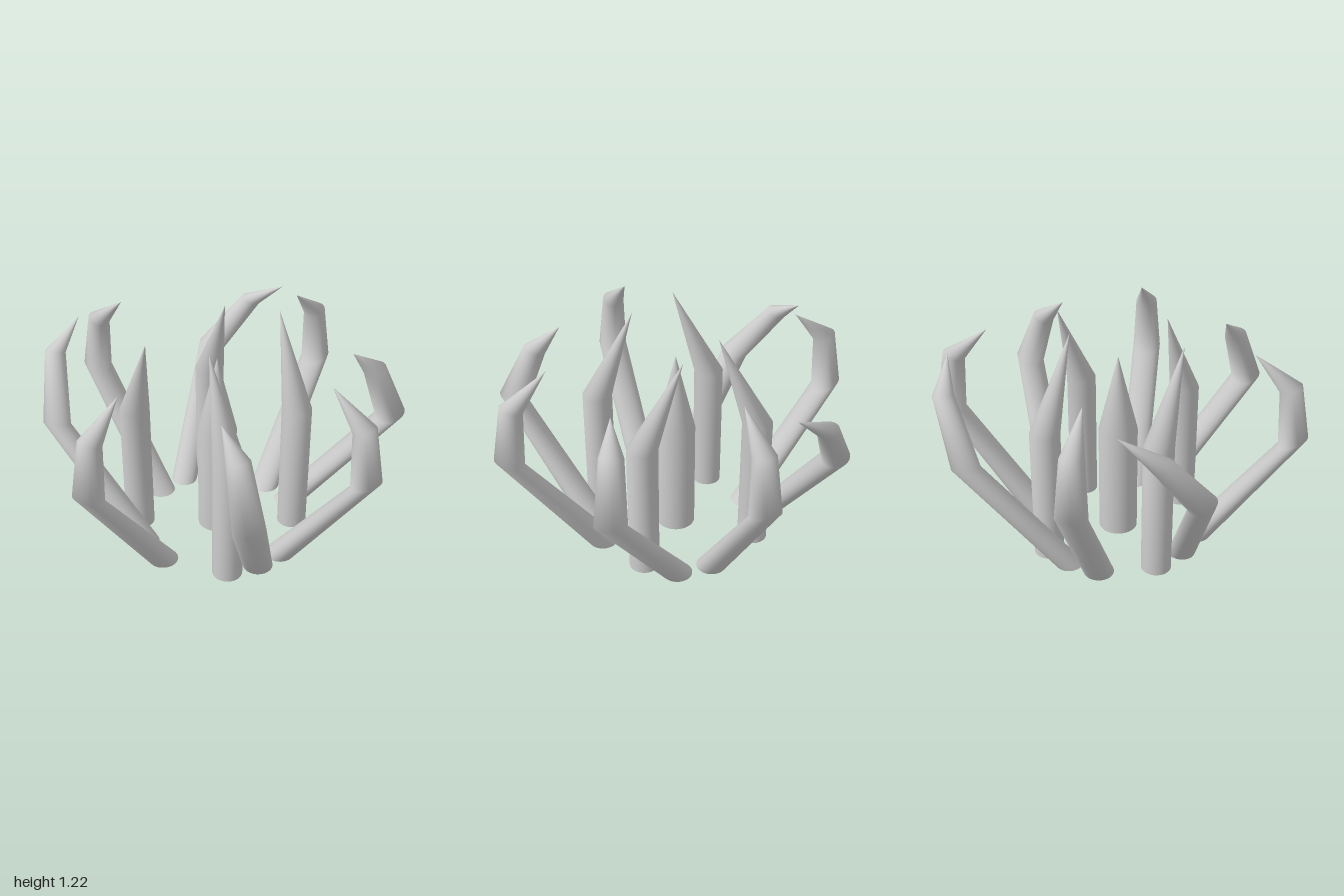
import * as THREE from 'three';

const SIDES = 32;
const V = (x, y, z) => new THREE.Vector3(x, y, z);

// Lofts rings { c: centre, r: radius, n: plane normal } and closes to a point at the tip;
// the base gets a flat cap with its own vertices so its rim stays sharp.
function loft(rings, tip) {
  const pos = [], index = [];
  const addRing = ({ c, r, n }) => {
    const q = new THREE.Quaternion().setFromUnitVectors(V(0, 1, 0), n);
    for (let i = 0; i < SIDES; i++) {
      const a = (i / SIDES) * Math.PI * 2;
      const p = V(Math.cos(a) * r, 0, Math.sin(a) * r).applyQuaternion(q).add(c);
      pos.push(p.x, p.y, p.z);
    }
  };
  rings.forEach(addRing);
  for (let k = 0; k < rings.length - 1; k++) {
    for (let i = 0; i < SIDES; i++) {
      const j = (i + 1) % SIDES, a = k * SIDES, b = a + SIDES;
      index.push(a + i, b + i, b + j, a + i, b + j, a + j);
    }
  }
  // pointed end: one apex vertex per side keeps the shading smooth around the cone
  const last = (rings.length - 1) * SIDES;
  for (let i = 0; i < SIDES; i++) {
    pos.push(tip.x, tip.y, tip.z);
    index.push(last + i, last + SIDES + i, last + ((i + 1) % SIDES));
  }
  // base cap
  const cap = pos.length / 3;
  addRing(rings[0]);
  for (let i = 1; i < SIDES - 1; i++) index.push(cap, cap + i, cap + i + 1);

  const g = new THREE.BufferGeometry();
  g.setAttribute('position', new THREE.Float32BufferAttribute(pos, 3));
  g.setIndex(index);
  g.computeVertexNormals();
  return g;
}

// Ring normal leaning by an angle towards a horizontal direction
function lean(from, to, angle) {
  const d = V(to.x - from.x, 0, to.z - from.z).normalize();
  return d.multiplyScalar(Math.sin(angle)).add(V(0, Math.cos(angle), 0));
}

export function createModel() {
  const model = new THREE.Group();
  const material = new THREE.MeshStandardMaterial({ color: 0xcccccc });
  const up = V(0, 1, 0);
  const add = (name, rings, tip) => {
    const mesh = new THREE.Mesh(loft(rings, tip), material);
    mesh.name = name;
    model.add(mesh);
  };

  // Outer claws: lean outward, bend up at the knee and hook over at the elbow
  const claw = (name, base, knee, elbow, tip, r = 0.08) => {
    const n = lean(knee, tip, 0.38);
    add(name, [
      { c: base, r, n: up },
      { c: knee, r, n },
      { c: elbow, r: r * 0.75, n },
    ], tip);
  };

  // four claws along the axes; the side shift skews each a little
  const axisClaws = [
    ['frontClaw', V(0, 0, 1), V(1, 0, 0), 0],
    ['backClaw', V(0, 0, -1), V(1, 0, 0), -0.04],
    ['rightClaw', V(-1, 0, 0), V(0, 0, 1), 0],
    ['leftClaw', V(1, 0, 0), V(0, 0, 1), -0.04],
  ];
  for (const [name, out, side, s] of axisClaws) {
    const at = (u, y, w) => out.clone().multiplyScalar(u).addScaledVector(side, w * s).setY(y);
    claw(name, at(0.44, 0, 0.25), at(0.92, 0.676, 1), at(0.885, 0.976, 0.95), at(0.695, 1.14, 0.7));
  }

  // four twisted claws on the diagonals: base, knee, elbow and tip as [x, z]
  const diagonalClaws = [
    ['backLeftClaw', [0.18, -0.42], [0.635, -0.69], [0.58, -0.58], [0.527, -0.446], 0.08],
    ['frontLeftClaw', [0.415, 0.145], [0.712, 0.59], [0.59, 0.53], [0.455, 0.49], 0.08],
    ['frontRightClaw', [-0.175, 0.395], [-0.64, 0.56], [-0.81, 0.39], [-0.832, 0.19], 0.073],
    ['backRightClaw', [-0.41, -0.17], [-0.6, -0.63], [-0.43, -0.79], [-0.232, -0.835], 0.073],
  ];
  const heights = [0, 0.655, 0.955, 1.08];
  for (const [name, ...rest] of diagonalClaws) {
    const r = rest.pop();
    claw(name, ...rest.map(([x, z], i) => V(x, heights[i], z)), r);
  }

  // Inner spikes: upright shafts with points leaning towards the middle
  const spike = (name, x, z, tx, tz, r, shoulder, top) => add(name, [
    { c: V(x, 0, z), r, n: up },
    { c: V(x, shoulder, z), r, n: up },
  ], V(tx, top, tz));

  spike('backRightSpike', -0.325, -0.305, -0.135, -0.215, 0.08, 0.74, 1.22);
  spike('backLeftSpike', 0.31, -0.285, 0.12, -0.355, 0.08, 0.74, 1.22);
  spike('frontRightSpike', -0.33, 0.285, -0.145, 0.365, 0.08, 0.74, 1.22);
  spike('frontLeftSpike', 0.33, 0.295, 0.145, 0.225, 0.08, 0.74, 1.22);
  spike('centreSpike', 0, 0, 0, 0, 0.105, 0.62, 1.05);

  return model;
}
